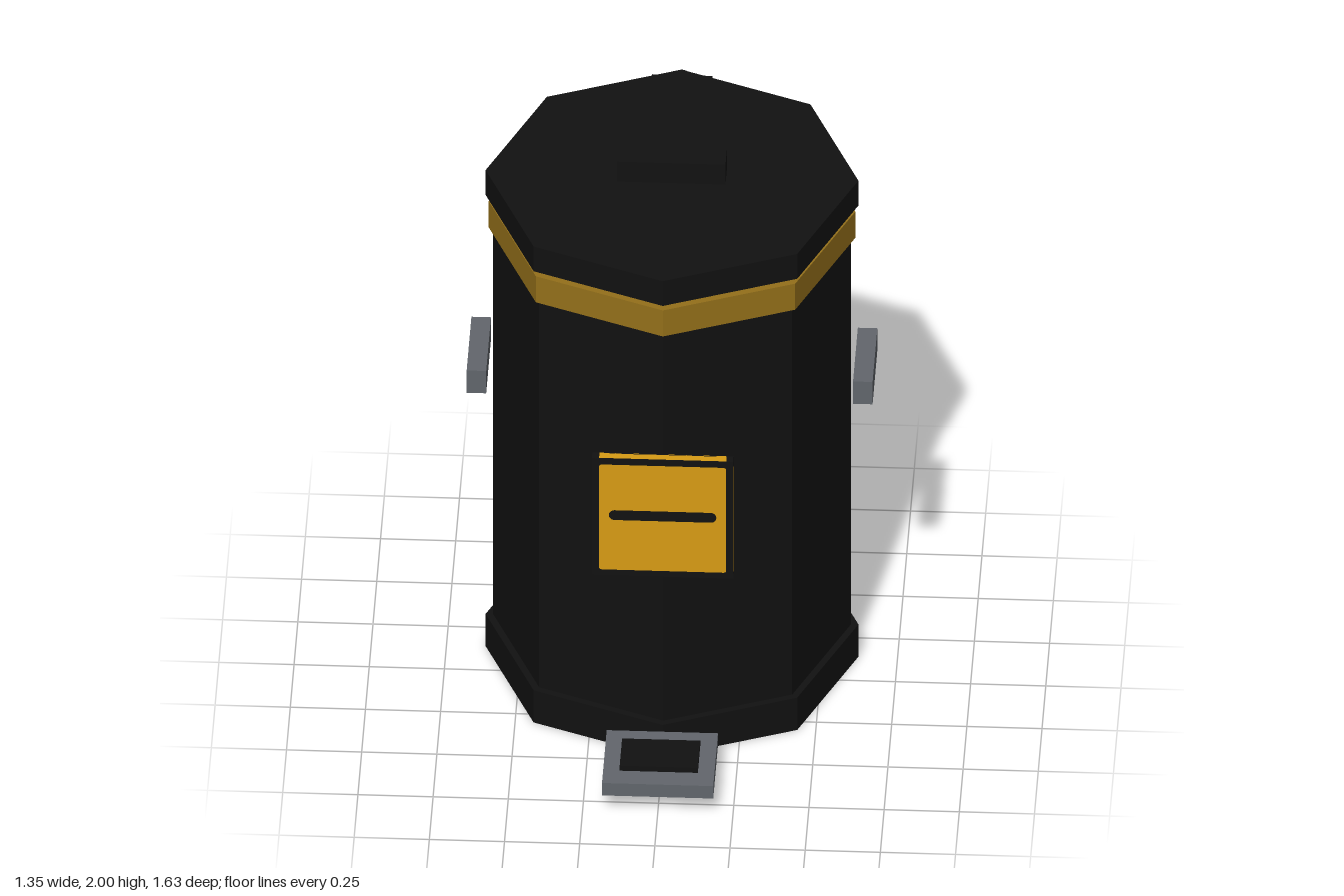
import * as THREE from 'three';

const material = (name, color) => {
  const m = new THREE.MeshStandardMaterial({ color, flatShading: true });
  m.name = name;
  return m;
};

export function createModel() {
  const black = material('black', 0x111111);
  const yellow = material('yellow', 0xd89c14);
  const ochre = material('ochre', 0x94701a);
  const grey = material('grey', 0x62666c);
  const root = new THREE.Group();
  root.name = 'pedalBin';
  const axisZ = -0.14;

  const add = (name, geometry, mat, x, y, z, parent = root) => {
    const mesh = new THREE.Mesh(geometry, mat);
    mesh.name = name;
    mesh.position.set(x, y, z);
    parent.add(mesh);
    return mesh;
  };
  const box = (name, mat, [x0, x1], [y0, y1], [z0, z1], parent) =>
    add(name, new THREE.BoxGeometry(x1 - x0, y1 - y0, z1 - z0), mat,
      (x0 + x1) / 2, (y0 + y1) / 2, (z0 + z1) / 2, parent);
  // Eight-sided drum with corners on the x and z axes
  const drum = (name, mat, r, y0, y1) =>
    add(name, new THREE.CylinderGeometry(r, r, y1 - y0, 8), mat, 0, (y0 + y1) / 2, axisZ);

  // Bin shell
  drum('base', black, 0.62, 0, 0.13);
  drum('body', black, 0.595, 0.13, 1.78);
  drum('rimBand', ochre, 0.61, 1.69, 1.795);
  drum('lid', black, 0.62, 1.82, 1.92);
  box('lidHandle', black, [-0.18, 0.18], [1.92, 2], [-0.185, -0.095]);

  // Hinge and lifting rod at the back
  box('hinge', black, [-0.1, 0.1], [1.73, 1.86], [-0.815, -0.72]);
  add('liftRod', new THREE.CylinderGeometry(0.025, 0.025, 1.77, 8), black, 0, 1.015, -0.765);

  // Side handles
  for (const s of [-1, 1]) {
    const handle = box(s > 0 ? 'leftHandle' : 'rightHandle', grey, [0.61, 0.675], [1.13, 1.22], [-0.295, 0.02]);
    handle.position.x *= s;
  }

  // Foot pedal
  box('pedal', grey, [-0.185, 0.185], [0.07, 0.12], [0.505, 0.815]);
  box('pedalPad', black, [-0.13, 0.13], [0.12, 0.14], [0.58, 0.74]);

  // Front plate: dark block with a yellow panel and a slot on every face
  const plate = new THREE.Group();
  plate.name = 'frontPlate';
  plate.position.set(0, 0.965, 0.466);
  root.add(plate);
  const size = [0.47, 0.47, 0.034];
  add('plateBlock', new THREE.BoxGeometry(...size), black, 0, 0, 0, plate);

  const roundedRect = (w, h, r) => {
    const s = new THREE.Shape();
    const a = w / 2 - r, b = h / 2 - r;
    s.absarc(a, b, r, 0, Math.PI / 2);
    s.absarc(-a, b, r, Math.PI / 2, Math.PI);
    s.absarc(-a, -b, r, Math.PI, Math.PI * 1.5);
    s.absarc(a, -b, r, Math.PI * 1.5, Math.PI * 2);
    return new THREE.ShapeGeometry(s, 4);
  };
  const face = (name, w, h, d, rx, ry) => {
    const g = new THREE.Group();
    g.name = name;
    g.rotation.set(rx, ry, 0);
    plate.add(g);
    const panel = add(name + 'Panel', roundedRect(0.9, 0.9, 0.02), yellow, 0, 0, d / 2 + 0.001, g);
    const slot = add(name + 'Slot', roundedRect(0.76, 0.084, 0.04), black, 0, 0.01, d / 2 + 0.003, g);
    for (const m of [panel, slot]) m.scale.set(w, h, 1);
  };
  const [w, h, d] = size;
  face('front', w, h, d, 0, 0);
  face('back', w, h, d, 0, Math.PI);
  face('left', d, h, w, 0, Math.PI / 2);
  face('right', d, h, w, 0, -Math.PI / 2);
  face('top', w, d, h, -Math.PI / 2, 0);
  face('bottom', w, d, h, Math.PI / 2, 0);

  return root;
}
